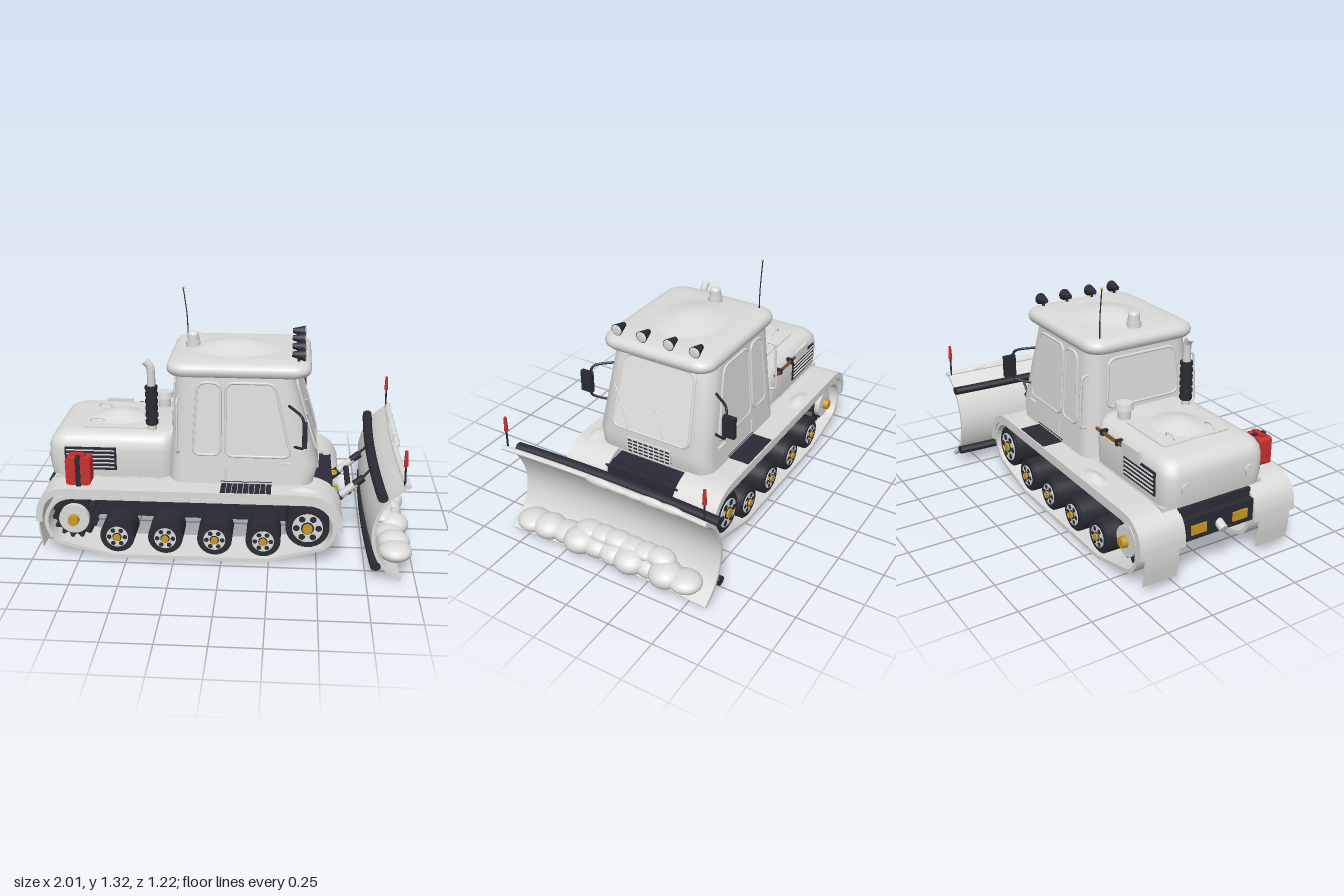
import * as THREE from 'three';
import { toCreasedNormals } from 'three/addons/utils/BufferGeometryUtils.js';

const mat = (name, color) => Object.assign(new THREE.MeshStandardMaterial({ color }), { name });
const V = (x, y, z) => new THREE.Vector3(x, y, z);

export function createModel() {
  const body = mat('body grey', 0xdadad8), glass = mat('window grey', 0xdedede), dark = mat('dark rubber', 0x2a2b34),
    red = mat('red', 0xc83030), yellow = mat('yellow', 0xc99a22), wood = mat('wood', 0x7c4c20), snow = mat('snow', 0xdcdcda);
  const root = new THREE.Group();
  root.name = 'snowplowTractor';

  const add = (name, geo, m, x = 0, y = 0, z = 0) => {
    const mesh = new THREE.Mesh(geo, m);
    mesh.name = name;
    mesh.position.set(x, y, z);
    root.add(mesh);
    return mesh;
  };
  const box = (name, m, x0, x1, y0, y1, z0, z1) =>
    add(name, new THREE.BoxGeometry(x1 - x0, y1 - y0, z1 - z0), m, (x0 + x1) / 2, (y0 + y1) / 2, (z0 + z1) / 2);
  const rod = (name, m, a, b, r, r2 = r, n = 14) => {
    const d = b.clone().sub(a), mid = a.clone().add(b).multiplyScalar(0.5);
    const mesh = add(name, new THREE.CylinderGeometry(r2, r, d.length(), n), m, mid.x, mid.y, mid.z);
    mesh.quaternion.setFromUnitVectors(V(0, 1, 0), d.normalize());
  };
  const tube = (name, m, pts, r, closed = false) =>
    add(name, new THREE.TubeGeometry(new THREE.CatmullRomCurve3(pts, closed, 'centripetal'), pts.length * 6, r, 8, closed), m);
  const ball = (name, m, x, y, z, rx, ry, rz) =>
    add(name, new THREE.SphereGeometry(1, 20, 12), m, x, y, z).scale.set(rx, ry, rz);
  // Soft heap that fades out at its rim
  const heapProfile = [0, 1, 2, 3, 4, 5, 6, 7, 8].map(i => new THREE.Vector2(1 - i / 8, (1 - Math.cos(Math.PI * i / 8)) / 2));
  const mound = (name, x, y, z, rx, h, rz) => add(name, new THREE.LatheGeometry(heapProfile, 24), snow, x, y, z).scale.set(rx, h, rz);
  const extrude = (shape, z0, z1, steps = 1) => {
    const g = new THREE.ExtrudeGeometry(shape, { depth: z1 - z0, bevelEnabled: false, curveSegments: 16, steps });
    g.translate(0, 0, z0);
    return toCreasedNormals(g, 0.6);
  };
  // Rounded outline through a list of corners
  const rounded = (pts, r) => {
    const s = new THREE.Shape(), n = pts.length;
    pts.forEach((p, i) => {
      const c = new THREE.Vector2(...p), q = new THREE.Vector2(...pts[(i + n - 1) % n]), t = new THREE.Vector2(...pts[(i + 1) % n]);
      const a = q.sub(c).setLength(r).add(c), b = t.sub(c).setLength(r).add(c);
      i ? s.lineTo(a.x, a.y) : s.moveTo(a.x, a.y);
      s.quadraticCurveTo(c.x, c.y, b.x, b.y);
    });
    s.closePath();
    return s;
  };
  // Strip of constant thickness that follows a curve
  const ribbon = (pts, t, n) => {
    const c = new THREE.CatmullRomCurve3(pts.map(p => V(p[0], p[1], 0)), false, 'centripetal'), left = [], right = [];
    for (let i = 0; i <= n; i++) {
      const p = c.getPoint(i / n), d = c.getTangent(i / n);
      left.push(new THREE.Vector2(p.x - d.y * t / 2, p.y + d.x * t / 2));
      right.unshift(new THREE.Vector2(p.x + d.y * t / 2, p.y - d.x * t / 2));
    }
    return new THREE.Shape([...left, ...right]);
  };
  // Stack of rounded rectangles: [y, xMin, xMax, halfWidth, cornerRadius]
  const loft = rings => {
    const pos = [], idx = [], K = 8, N = 4 * K;
    for (const [y, x0, x1, w, r] of rings)
      for (let i = 0; i < N; i++) {
        const q = Math.floor(i / K), a = (q + (i % K) / (K - 1)) * Math.PI / 2;
        const cx = q === 0 || q === 3 ? x1 - r : x0 + r, cz = q < 2 ? w - r : r - w;
        pos.push(cx + r * Math.cos(a), y, cz + r * Math.sin(a));
      }
    for (let k = 0; k < rings.length - 1; k++)
      for (let i = 0; i < N; i++) {
        const a = k * N + i, b = k * N + (i + 1) % N;
        idx.push(a, a + N, b + N, a, b + N, b);
      }
    const top = (rings.length - 1) * N;
    for (let i = 1; i < N - 1; i++) idx.push(top, top + i + 1, top + i, 0, i, i + 1);
    const g = new THREE.BufferGeometry();
    g.setAttribute('position', new THREE.Float32BufferAttribute(pos, 3));
    g.setIndex(idx);
    return toCreasedNormals(g, 0.95);
  };

  // Hull
  const hull = new THREE.Shape([[-0.92, 0.385], [-0.93, 0.27], [-0.83, 0.14], [0.42, 0.13], [0.54, 0.23], [0.54, 0.36]].map(p => new THREE.Vector2(...p)));
  add('hull', extrude(hull, -0.215, 0.215), dark);
  box('rearBumper', dark, -0.956, -0.92, 0.22, 0.34, -0.21, 0.21);
  box('frontBumper', dark, 0.47, 0.582, 0.26, 0.352, -0.225, 0.225);
  rod('hitch', body, V(-0.995, 0.25, 0), V(-0.93, 0.28, 0), 0.024);
  box('engineDeck', body, -0.9, 0.47, 0.385, 0.405, -0.3, 0.3);

  // Hood
  add('hood', loft([[0.4, -0.925, -0.26, 0.295, 0.08], [0.46, -0.935, -0.26, 0.3, 0.08], [0.555, -0.935, -0.26, 0.3, 0.08],
    [0.59, -0.926, -0.26, 0.295, 0.08], [0.615, -0.908, -0.26, 0.282, 0.08], [0.634, -0.88, -0.26, 0.26, 0.07], [0.642, -0.845, -0.26, 0.23, 0.06]]), body);
  add('hoodHatch', loft([[0.635, -0.76, -0.41, 0.2, 0.02], [0.648, -0.76, -0.41, 0.2, 0.02]]), body);
  mound('hoodSnow', -0.58, 0.643, 0.01, 0.2, 0.042, 0.18);
  for (const z of [-0.12, 0.12])
    tube('hatchHandle', body, [V(-0.73, 0.645, z), V(-0.725, 0.664, z), V(-0.665, 0.664, z), V(-0.66, 0.645, z)], 0.004);
  add('airCleaner', new THREE.CylinderGeometry(0.035, 0.035, 0.08, 20), body, -0.365, 0.67, -0.175);
  add('airCleanerCap', new THREE.CylinderGeometry(0.043, 0.05, 0.035, 20), body, -0.365, 0.712, -0.175);

  // Exhaust
  rod('exhaustBase', body, V(-0.385, 0.63, 0.195), V(-0.385, 0.68, 0.195), 0.024);
  rod('muffler', dark, V(-0.385, 0.67, 0.195), V(-0.385, 0.885, 0.195), 0.03);
  for (let i = 0; i < 6; i++)
    add('mufflerRing', new THREE.CylinderGeometry(0.034, 0.034, 0.018, 18), dark, -0.385, 0.685 + i * 0.038, 0.195);
  tube('exhaustPipe', body, [V(-0.385, 0.88, 0.195), V(-0.385, 0.96, 0.195), V(-0.39, 0.99, 0.195), V(-0.415, 1.02, 0.195)], 0.022);

  // Cab and roof
  add('cab', loft([[0.4, -0.285, 0.475, 0.345, 0.09], [0.5, -0.279, 0.5, 0.338, 0.09], [0.99, -0.25, 0.357, 0.304, 0.09]]), body);
  add('roof', loft([[0.968, -0.265, 0.42, 0.295, 0.08], [0.974, -0.283, 0.438, 0.313, 0.09], [0.988, -0.294, 0.449, 0.323, 0.09],
    [1.006, -0.297, 0.452, 0.326, 0.09], [1.024, -0.292, 0.447, 0.321, 0.09], [1.038, -0.278, 0.433, 0.307, 0.09],
    [1.044, -0.255, 0.41, 0.285, 0.08], [1.05, -0.2, 0.355, 0.235, 0.06]]), body);
  mound('roofSnow', 0.05, 1.047, 0, 0.29, 0.045, 0.23);
  add('beaconBase', new THREE.CylinderGeometry(0.038, 0.04, 0.03, 20), body, -0.18, 1.065, 0);
  add('beacon', new THREE.CylinderGeometry(0.031, 0.033, 0.04, 20), body, -0.18, 1.095, 0);
  ball('beaconDome', body, -0.18, 1.113, 0, 0.031, 0.022, 0.031);
  tube('antenna', dark, [V(-0.235, 1.03, -0.24), V(-0.238, 1.15, -0.24), V(-0.258, 1.31, -0.24)], 0.003);
  ball('antennaTip', yellow, -0.258, 1.31, -0.24, 0.007, 0.007, 0.007);
  for (const z of [-0.23, -0.08, 0.08, 0.23]) {
    rod('roofLampPost', dark, V(0.385, 1.03, z), V(0.385, 1.07, z), 0.008);
    rod('roofLamp', dark, V(0.35, 1.082, z), V(0.418, 1.078, z), 0.013, 0.032, 20);
    ball('roofLampLens', body, 0.418, 1.078, z, 0.007, 0.0295, 0.0295);
  }

  // Windows lie on the sloping cab faces; each rule carries outline (u, y) and depth d onto a face
  const sideZ = y => 0.345 - 0.0695 * (y - 0.4), frontX = y => 0.5 - 0.292 * (y - 0.5), rearX = y => -0.285 + 0.0593 * (y - 0.4);
  const side = s => (u, y, d) => V(s * u, y, s * (sideZ(y) + d));
  const front = (u, y, d) => V(frontX(y) + d, y, -u);
  const rear = (u, y, d) => V(rearX(y) - d, y, u);
  const pane = (name, pts, rule) => {
    const s = rounded(pts, 0.045), g = extrude(s, -0.003, 0.005), p = g.attributes.position;
    for (let i = 0; i < p.count; i++) p.setXYZ(i, ...rule(p.getX(i), p.getY(i), p.getZ(i)).toArray());
    g.computeVertexNormals();
    add(name, g, glass);
    tube(name + 'Frame', body, s.getSpacedPoints(48).slice(0, -1).map(q => rule(q.x, q.y, 0.002)), 0.008, true);
  };
  pane('windshield', [[-0.235, 0.55], [0.235, 0.55], [0.212, 0.935], [-0.212, 0.935]], front);
  pane('rearWindow', [[-0.22, 0.67], [0.22, 0.67], [0.2, 0.93], [-0.2, 0.93]], rear);
  for (const z of [0.14, -0.08]) {
    tube('wiperArm', body, [V(0.5, 0.54, z), V(frontX(0.57) + 0.012, 0.57, z), V(frontX(0.66) + 0.012, 0.66, z + 0.05), V(frontX(0.71) + 0.012, 0.71, z + 0.08)], 0.0035);
    rod('wiperBlade', body, V(frontX(0.655) + 0.01, 0.655, z + 0.03), V(frontX(0.77) + 0.01, 0.77, z + 0.11), 0.004);
  }
  box('noseGrille', dark, 0.48, 0.502, 0.42, 0.51, -0.13, 0.13);
  for (let i = 0; i < 5; i++) box('noseGrilleBar', body, 0.49, 0.506, 0.418 + i * 0.0215, 0.426 + i * 0.0215, -0.135, 0.135);
  for (let i = 0; i < 9; i++) box('noseGrilleRib', body, 0.49, 0.505, 0.42, 0.51, i * 0.033 - 0.135, i * 0.033 - 0.129);

  // Road wheel with drilled rim and hub, axis along z
  const wheel = (x, y, s, r, rim) => {
    const c = (name, m, rad, z0, z1) => rod(name, m, V(x, y, s * z0), V(x, y, s * z1), rad, rad, 28);
    c('tire', dark, r, 0.27, 0.44);
    c('tireShoulder', dark, r * 0.9, 0.26, 0.448);
    c('rim', body, rim, 0.25, 0.452);
    for (let i = 0; i < 6; i++) {
      const a = i * Math.PI / 3, hx = x + rim * 0.72 * Math.cos(a), hy = y + rim * 0.72 * Math.sin(a);
      rod('rimHole', dark, V(hx, hy, s * 0.45), V(hx, hy, s * 0.454), rim * 0.21);
    }
    c('hubRing', dark, rim * 0.42, 0.45, 0.455);
    c('hub', yellow, rim * 0.33, 0.45, 0.465);
    c('axle', dark, 0.02, 0.2, 0.26);
  };
  const loop = (R, bottom) => {
    const s = new THREE.Shape();
    s.absarc(0.45, 0.21, R, -0.95, Math.PI / 2, false);
    s.absarc(-0.78, 0.21, R, Math.PI / 2, 4.25, false);
    s.lineTo(-0.57, bottom);
    s.lineTo(0.24, bottom);
    s.closePath();
    return s;
  };
  const belt = loop(0.15, 0.008);
  belt.holes.push(loop(0.13, 0.028));
  const fender = ribbon([[0.617, 0.2], [0.605, 0.275], [0.565, 0.335], [0.495, 0.374], [0.42, 0.383], [0.35, 0.383], [-0.7, 0.383],
    [-0.8, 0.382], [-0.88, 0.37], [-0.93, 0.33], [-0.952, 0.27], [-0.956, 0.21]], 0.036, 80);
  const teeth = new THREE.Shape();
  for (let i = 0; i < 56; i++) {
    const a = i / 56 * 2 * Math.PI, r = i % 4 < 2 ? 0.122 : 0.1;
    i ? teeth.lineTo(r * Math.cos(a), r * Math.sin(a)) : teeth.moveTo(r, 0);
  }

  for (const s of [1, -1]) {
    const span = (a, b) => s > 0 ? [a, b] : [-b, -a];
    // Running gear
    add('trackBelt', extrude(belt, ...span(0.215, 0.46)), body);
    add('fender', extrude(fender, ...span(0.21, 0.468)), body);
    add('mudFlap', extrude(ribbon([[-0.966, 0.23], [-0.964, 0.15], [-0.95, 0.05]], 0.008, 10), ...span(0.245, 0.44)), body);
    for (const x of [-0.55, -0.295, -0.035, 0.22]) wheel(x, 0.125, s, 0.092, 0.058);
    wheel(0.45, 0.21, s, 0.115, 0.08);
    add('sprocketTeeth', extrude(teeth, ...span(0.33, 0.4)), dark, -0.78, 0.21, 0);
    rod('sprocketDisc', body, V(-0.78, 0.21, s * 0.25), V(-0.78, 0.21, s * 0.43), 0.08, 0.08, 28);
    rod('sprocketHub', yellow, V(-0.78, 0.21, s * 0.42), V(-0.78, 0.21, s * 0.46), 0.032, 0.028, 8);
    // Tread plates and side grilles
    for (let i = 0; i < 9; i++) box('treadBar', dark, -0.005 + i * 0.0295, 0.021 + i * 0.0295, 0.395, 0.405, ...span(0.345, 0.46));
    box('sideGrille', dark, -0.84, -0.565, 0.445, 0.57, ...span(0.29, 0.306));
    for (let i = 0; i < 5; i++) box('grilleSlat', body, -0.83, -0.575, 0.46 + i * 0.023, 0.466 + i * 0.023, ...span(0.3, 0.312));
    // Cab sides
    const rule = side(s);
    pane('rearSideWindow', [[-0.155, 0.56], [-0.012, 0.56], [-0.012, 0.945], [-0.13, 0.945]].map(p => [p[0] * s, p[1]]), rule);
    pane('doorWindow', [[0.015, 0.555], [0.355, 0.555], [0.265, 0.945], [0.015, 0.945]].map(p => [p[0] * s, p[1]]), rule);
    rod('doorSeam', dark, V(-0.01, 0.415, s * 0.343), V(0.26, 0.415, s * 0.343), 0.003);
    rod('doorHinge', body, V(0.015, 0.43, s * 0.348), V(0.015, 0.5, s * 0.344), 0.007);
    box('doorHandle', body, 0.3, 0.36, 0.515, 0.527, ...span(0.33, 0.35));
    tube('grabRail', body, [V(-0.23, 0.57, s * 0.32), V(-0.235, 0.58, s * 0.357), V(-0.235, 0.6, s * 0.36), V(-0.235, 0.83, s * 0.347), V(-0.235, 0.85, s * 0.344), V(-0.23, 0.86, s * 0.3)], 0.007);
    tube('mirrorArm', dark, [V(0.34, 0.83, s * 0.31), V(0.395, 0.815, s * 0.395), V(0.41, 0.8, s * 0.41), V(0.425, 0.65, s * 0.41), V(0.415, 0.635, s * 0.4), V(0.37, 0.61, s * 0.32)], 0.007);
    box('mirror', dark, 0.41, 0.435, 0.66, 0.78, ...span(0.4, 0.468));
    // Lamps and tow hooks
    box('tailLamp', yellow, -0.964, -0.955, 0.25, 0.3, ...span(0.08, 0.17));
    rod('rearLamp', body, V(-0.945, 0.5, s * 0.19), V(-0.92, 0.5, s * 0.19), 0.03);
    tube('towHook', yellow, [V(0.575, 0.29, s * 0.08), V(0.605, 0.29, s * 0.082), V(0.612, 0.29, s * 0.1), V(0.605, 0.29, s * 0.118), V(0.575, 0.29, s * 0.12)], 0.008);
    // Plow linkage
    rod('plowCylinder', dark, V(0.53, 0.19, s * 0.17), V(0.63, 0.278, s * 0.17), 0.024);
    rod('plowPiston', body, V(0.61, 0.26, s * 0.17), V(0.71, 0.35, s * 0.17), 0.021);
    rod('plowPistonEnd', dark, V(0.7, 0.342, s * 0.17), V(0.745, 0.38, s * 0.17), 0.021);
    rod('plowLink', dark, V(0.725, 0.365, s * 0.17), V(0.8, 0.45, s * 0.17), 0.007);
    // Marker poles
    rod('markerPole', dark, V(0.918, 0.52, s * 0.585), V(0.916, 0.64, s * 0.585), 0.005);
    rod('markerTip', red, V(0.916, 0.63, s * 0.585), V(0.915, 0.71, s * 0.585), 0.011, 0.008);
  }
  rod('plowCrossBar', dark, V(0.67, 0.3, -0.18), V(0.67, 0.3, 0.18), 0.016);

  // Plow blade and beams, ends swept slightly forward
  const sweep = g => {
    const p = g.attributes.position;
    for (let i = 0; i < p.count; i++) p.setX(i, p.getX(i) + 0.02 * (p.getZ(i) / 0.6) ** 2 - 0.01);
    return toCreasedNormals(g, 0.6);
  };
  const oval = (x, y, rx, ry) => new THREE.Shape().absellipse(x, y, rx, ry, 0, 2 * Math.PI);
  add('plowBlade', sweep(extrude(ribbon([[0.925, 0.53], [0.84, 0.455], [0.785, 0.355], [0.765, 0.26], [0.78, 0.165], [0.825, 0.08], [0.915, 0.008]], 0.018, 30), -0.6, 0.6, 12)), body);
  add('plowTopLip', sweep(extrude(oval(0.922, 0.53, 0.016, 0.012), -0.608, 0.608, 12)), body);
  add('upperBeam', sweep(extrude(oval(0.802, 0.464, 0.027, 0.022), -0.61, 0.61, 12)), dark);
  add('lowerBeam', sweep(extrude(oval(0.784, 0.085, 0.027, 0.022), -0.61, 0.61, 12)), dark);
  for (let i = 0; i < 10; i++) ball('edgeBolt', body, 0.885, 0.035, -0.555 + i * 0.1233, 0.01, 0.008, 0.009);

  // Snow heaped in and on the plow
  for (let i = 0; i < 10; i++) {
    const k = Math.sin(i * 2.4), t = 1 - 0.2 * (Math.abs(i - 4.5) > 4);
    ball('plowSnow', snow, 0.9 + 0.012 * k, 0.1 + 0.006 * k, -0.465 + i * 0.1033, 0.085 + 0.008 * k, (0.058 + 0.006 * k) * t, 0.092);
  }
  for (let i = 0; i < 6; i++) ball('plowSnowUpper', snow, 0.86, 0.148, -0.3 + i * 0.086, 0.065, 0.038 + 0.006 * Math.cos(i * 2), 0.085);
  for (let i = 0; i < 5; i++) ball('lipSnow', snow, 0.925, 0.532, -0.4 + i * 0.1, 0.02, 0.02 + 0.004 * Math.sin(i * 2), 0.09);
  mound('fenderSnow', -0.45, 0.4, -0.405, 0.12, 0.025, 0.06);
  mound('fenderSnow', 0.42, 0.396, 0.39, 0.1, 0.018, 0.05);

  // Fuel can and shovel
  add('fuelCan', extrude(rounded([[-0.81, 0.41], [-0.68, 0.41], [-0.68, 0.56], [-0.81, 0.56]], 0.02), 0.355, 0.435), red);
  box('fuelCanHandle', red, -0.79, -0.71, 0.555, 0.575, 0.385, 0.405);
  box('fuelCanStrap', dark, -0.757, -0.732, 0.405, 0.566, 0.35, 0.44);
  rod('shovelHandle', wood, V(-0.58, 0.6, -0.312), V(-0.32, 0.6, -0.312), 0.009);
  box('shovelBlade', body, -0.72, -0.57, 0.565, 0.632, -0.322, -0.304);
  for (const x of [-0.52, -0.38]) box('shovelClip', dark, x - 0.01, x + 0.01, 0.585, 0.615, -0.322, -0.285);
  return root;
}
